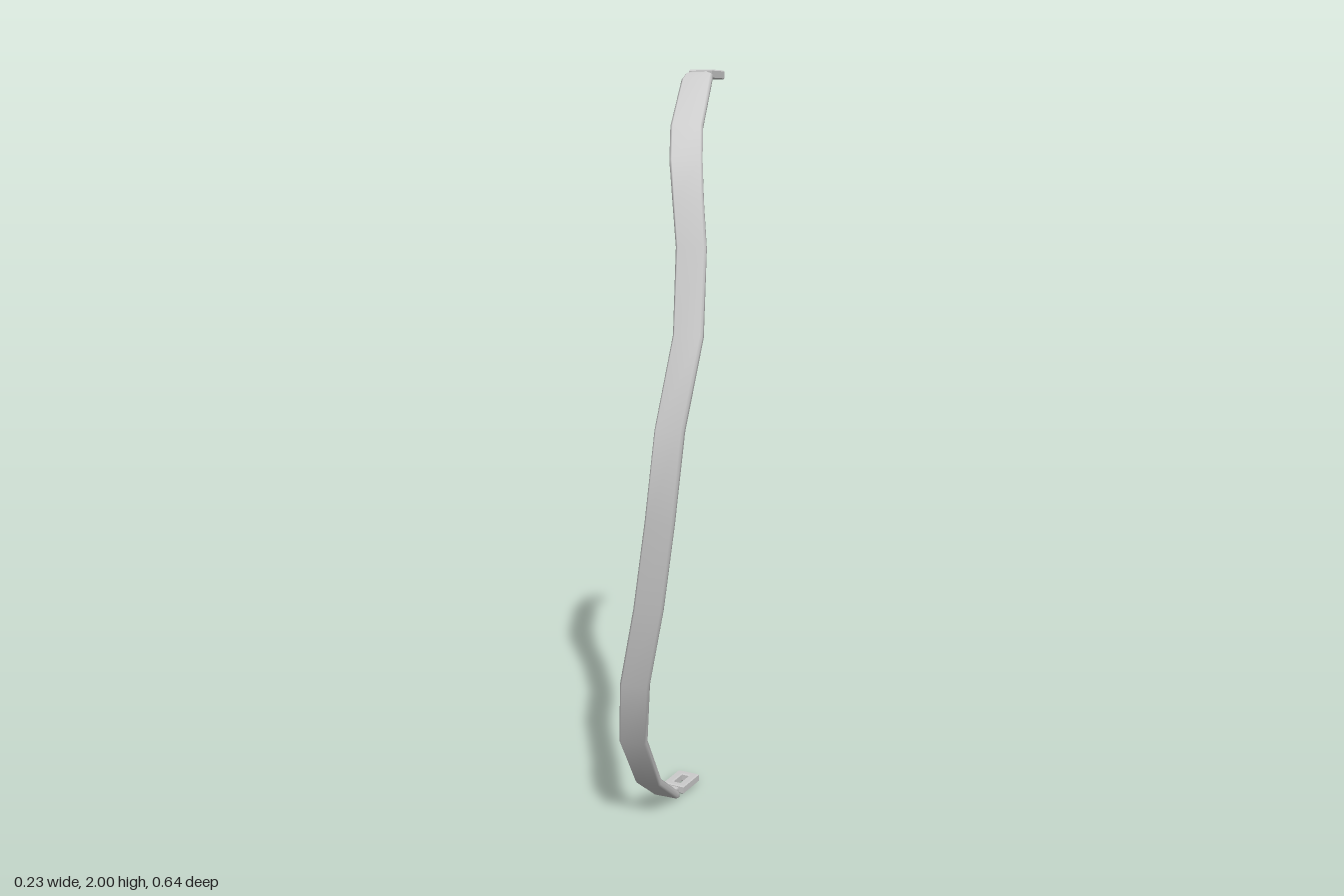
import * as THREE from 'three';

const material = new THREE.MeshStandardMaterial({ color: 0xcccccc, side: THREE.DoubleSide });

// Sections from top to bottom: centre x, y, z, half width, half thickness,
// and how far the -x edge stands forward of the centre
const sections = [
  [-0.052, 1.988, -0.236, 0.021, 0.008, 0],
  [-0.050, 1.987, -0.207, 0.021, 0.008, 0],
  [-0.046, 1.982, -0.198, 0.037, 0.010, 0.004],
  [-0.045, 1.968, -0.178, 0.039, 0.011, 0.008],
  [-0.020, 1.850, -0.042, 0.039, 0.012, 0.014],
  [0.009, 1.768, 0.036, 0.039, 0.012, 0.015],
  [0.031, 1.670, 0.077, 0.038, 0.011, 0.010],
  [0.055, 1.560, 0.117, 0.038, 0.010, 0.006],
  [0.076, 1.350, 0.191, 0.039, 0.010, 0],
  [0.067, 1.130, 0.292, 0.038, 0.011, 0],
  [0.045, 0.900, 0.305, 0.038, 0.010, 0.002],
  [0.009, 0.670, 0.294, 0.038, 0.010, 0.005],
  [-0.041, 0.455, 0.268, 0.038, 0.011, 0.006],
  [-0.070, 0.275, 0.214, 0.037, 0.011, 0.004],
  [-0.070, 0.120, 0.114, 0.037, 0.011, 0],
  [-0.078, 0.021, -0.032, 0.038, 0.011, -0.002],
  [-0.079, 0.015, -0.046, 0.037, 0.010, -0.003],
  [-0.078, 0.016, -0.056, 0.020, 0.008, -0.002],
  [-0.075, 0.016, -0.090, 0.020, 0.008, -0.002],
];

// Flat band outline with softened edges (across, through)
const outline = [
  [1, -0.5], [1, 0.5], [0.86, 1], [-0.86, 1],
  [-1, 0.5], [-1, -0.5], [-0.86, -1], [0.86, -1],
];

function loftStrap() {
  const positions = [];
  const index = [];
  const centres = sections.map(([x, y, z]) => new THREE.Vector3(x, y, z));
  const n = outline.length;
  sections.forEach(([, , , half, thick, yaw], i) => {
    const before = centres[Math.max(i - 1, 0)];
    const after = centres[Math.min(i + 1, centres.length - 1)];
    // bisect the two neighbouring directions
    const tangent = new THREE.Vector3();
    if (i > 0) tangent.add(centres[i].clone().sub(before).normalize());
    if (i < centres.length - 1) tangent.add(after.clone().sub(centres[i]).normalize());
    tangent.normalize();
    const across = new THREE.Vector3(half, 0, -yaw);
    const through = across.clone().cross(tangent).normalize().multiplyScalar(thick);
    for (const [u, v] of outline) {
      const p = centres[i].clone().addScaledVector(across, u).addScaledVector(through, v);
      positions.push(p.x, p.y, p.z);
    }
    if (i === 0) return;
    for (let j = 0; j < n; j++) {
      const k = (j + 1) % n;
      const a = (i - 1) * n, b = i * n;
      index.push(a + j, b + j, a + k, b + j, b + k, a + k);
    }
  });
  const geometry = new THREE.BufferGeometry();
  geometry.setAttribute('position', new THREE.Float32BufferAttribute(positions, 3));
  geometry.setIndex(index);
  geometry.computeVertexNormals();
  return geometry;
}

function rectangle(path, w, d) {
  path.moveTo(-w / 2, -d / 2);
  path.lineTo(w / 2, -d / 2);
  path.lineTo(w / 2, d / 2);
  path.lineTo(-w / 2, d / 2);
  path.closePath();
  return path;
}

// Flat end loop with a slot through it
function endLoop(name, x, y, z, turn) {
  const bevel = 0.003;
  const shape = rectangle(new THREE.Shape(), 0.066 - 2 * bevel, 0.096 - 2 * bevel);
  shape.holes.push(rectangle(new THREE.Path(), 0.022 + 2 * bevel, 0.056 + 2 * bevel));
  const geometry = new THREE.ExtrudeGeometry(shape, {
    depth: 0.018, bevelEnabled: true, bevelSize: bevel, bevelThickness: bevel, bevelSegments: 1,
  });
  geometry.center();
  geometry.rotateX(-Math.PI / 2);
  const mesh = new THREE.Mesh(geometry, material);
  mesh.name = name;
  mesh.position.set(x, y, z);
  mesh.rotation.y = turn;
  return mesh;
}

export function createModel() {
  const model = new THREE.Group();
  model.name = 'curvedStrap';
  const strap = new THREE.Mesh(loftStrap(), material);
  strap.name = 'strap';
  model.add(
    strap,
    endLoop('upperEndLoop', -0.052, 1.988, -0.271, 0),
    endLoop('lowerEndLoop', -0.069, 0.017, -0.122, -0.1),
  );
  return model;
}
